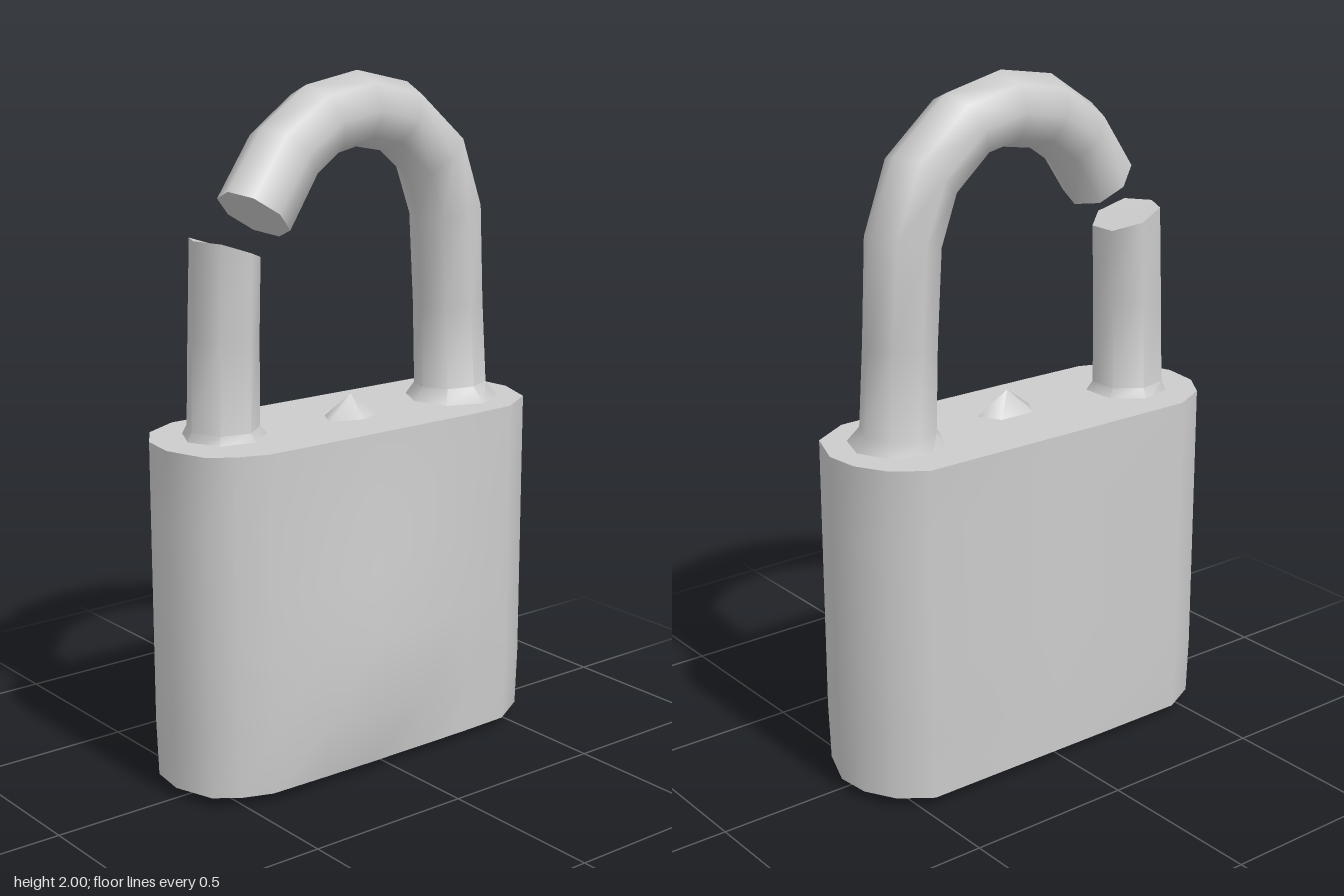
import * as THREE from 'three';
import { toCreasedNormals } from 'three/addons/utils/BufferGeometryUtils.js';

const V = (x, y, z) => new THREE.Vector3(x, y, z);
const material = new THREE.MeshStandardMaterial({ color: 0xcccccc });

// Skins a stack of equal-length rings; each end closes to its ring's centre.
function loft(name, rings, crease) {
  const n = rings[0].length;
  const centre = (r) => r.reduce((s, p) => s.add(p), V(0, 0, 0)).divideScalar(n);
  const points = [...rings.flat(), centre(rings[0]), centre(rings[rings.length - 1])];
  const index = [];
  const start = rings.length * n, end = start + 1, last = (rings.length - 1) * n;
  for (let j = 0; j < n; j++) {
    const k = (j + 1) % n;
    for (let i = 0; i < rings.length - 1; i++) {
      const a = i * n + j, b = i * n + k;
      index.push(a, b, b + n, a, b + n, a + n);
    }
    index.push(start, k, j, end, last + j, last + k);
  }
  const geometry = new THREE.BufferGeometry().setFromPoints(points);
  geometry.setIndex(index);
  const mesh = new THREE.Mesh(toCreasedNormals(geometry, crease), material);
  mesh.name = name;
  return mesh;
}

// Round sections along a path of [x, y, z, radius].
function tubeRings(path, sides) {
  const pts = path.map((p) => V(p[0], p[1], p[2]));
  return path.map((p, i) => {
    const t = pts[Math.min(i + 1, pts.length - 1)].clone().sub(pts[Math.max(i - 1, 0)]).normalize();
    const u = V(0, 0, 1).cross(t).normalize();
    const v = t.clone().cross(u);
    return Array.from({ length: sides }, (_, j) => {
      const a = (j / sides) * Math.PI * 2;
      return pts[i].clone().addScaledVector(u, p[3] * Math.cos(a)).addScaledVector(v, p[3] * Math.sin(a));
    });
  });
}

function createBody() {
  // Plan outline as [x, z]: left end, back, right end, front
  const outline = [
    [0.62, 0], [0.61, -0.1], [0.56, -0.19], [0.47, -0.255], [0.02, -0.255], [-0.44, -0.255],
    [-0.55, -0.2], [-0.61, -0.11], [-0.625, 0], [-0.585, 0.12], [-0.52, 0.17], [-0.43, 0.203],
    [-0.25, 0.205], [-0.08, 0.205], [0.1, 0.205], [0.28, 0.205], [0.45, 0.2], [0.57, 0.13],
  ];
  // Heights as [y, scale, front bulge]
  const levels = [
    [0, 0.4, 0], [0.01, 0.82, 0], [0.03, 0.99, 0.003], [0.2, 1, 0.05], [0.42, 1, 0.046],
    [0.62, 1, 0.032], [0.8, 1, 0.01], [1.015, 1, 0],
  ];
  const rings = levels.map(([y, s, bulge]) => outline.map(([x, z]) => {
    const swell = z > 0.18 ? bulge * Math.exp(-(((x + 0.06) / 0.24) ** 2)) : 0;
    return V(x * s, y, (z + 0.025) * s - 0.025 + swell);
  }));
  return loft('body', rings, 0.75);
}

export function createModel() {
  const model = new THREE.Group();
  model.add(createBody());

  // Cut shackle: flared foot, long leg, arch leaning forward to its severed end
  model.add(loft('shackle', tubeRings([
    [0.41, 1.0, -0.02, 0.15], [0.412, 1.055, -0.025, 0.108], [0.402, 1.3, -0.028, 0.104],
    [0.385, 1.58, -0.026, 0.106], [0.318, 1.75, -0.02, 0.107], [0.175, 1.865, -0.01, 0.106],
    [0.03, 1.895, 0, 0.106], [-0.12, 1.87, 0.015, 0.107], [-0.25, 1.79, 0.035, 0.107],
    [-0.37, 1.64, 0.06, 0.108],
  ], 8), 0.95));

  // Remaining stump, its top sheared on a slant
  const stump = tubeRings([
    [-0.41, 1.0, -0.04, 0.13], [-0.412, 1.04, -0.04, 0.105],
    [-0.41, 1.3, -0.035, 0.102], [-0.405, 1.53, -0.03, 0.1],
  ], 7);
  for (const p of stump[3]) p.y = Math.min(1.57, 1.545 - 0.35 * (p.x + 0.405));
  model.add(loft('stump', stump, 0.95));

  // Small burr in the middle of the top face
  const burr = new THREE.Mesh(new THREE.ConeGeometry(0.11, 0.075, 5, 1, true), material);
  burr.name = 'burr';
  burr.position.set(0.01, 1.045, 0);
  burr.scale.z = 0.6;
  model.add(burr);

  return model;
}
